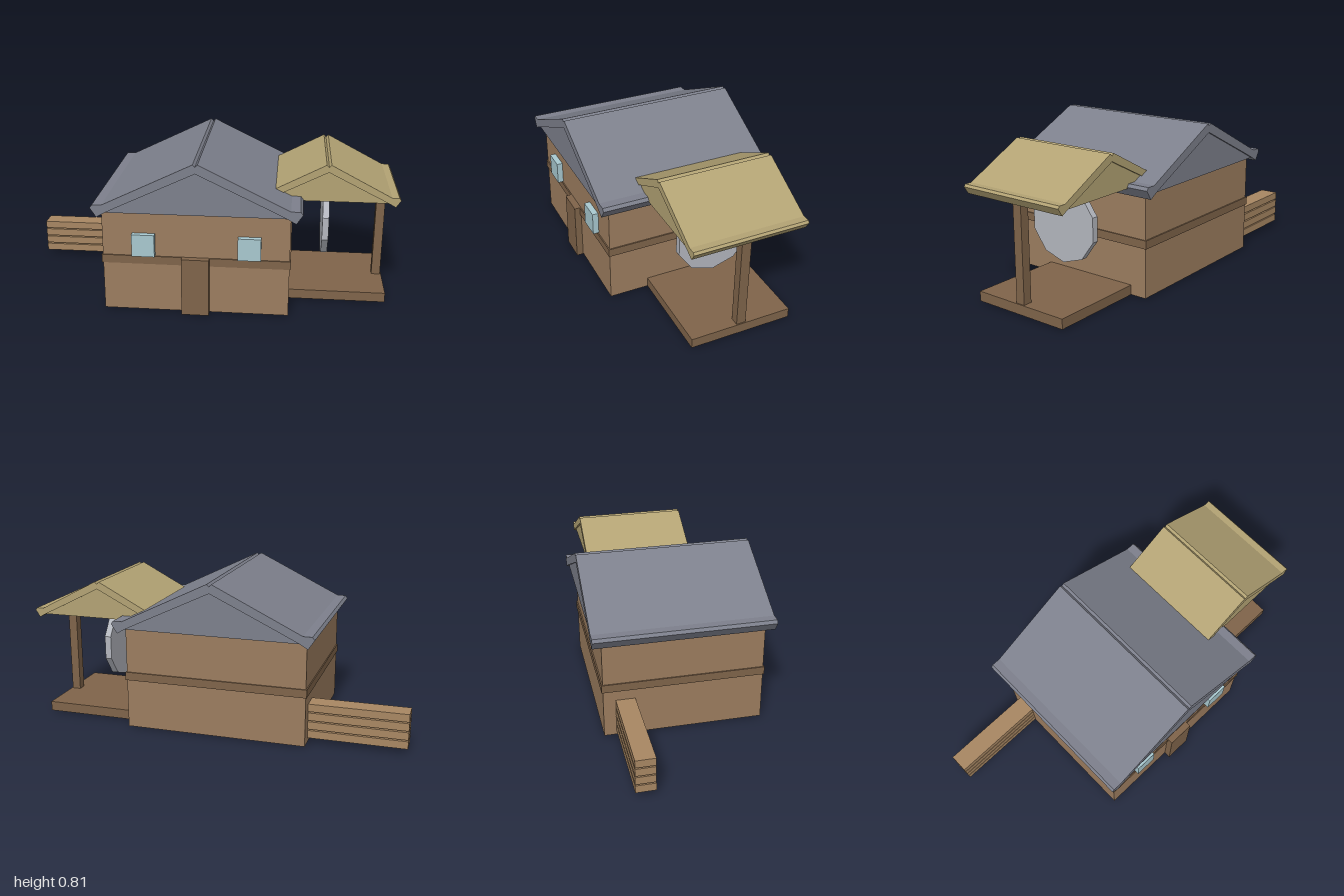
import * as THREE from 'three';

const mat = (color) => new THREE.MeshStandardMaterial({ color, flatShading: true });

export function createModel() {
  const model = new THREE.Group();
  const wall = mat(0x9c7d5f), trim = mat(0x7f644a), plank = mat(0xa88763);
  const slate = mat(0x7d808c), straw = mat(0xb3a374), glass = mat(0xa9c9d0), stone = mat(0xb4b7bf);

  const add = (name, geometry, material, parent = model) => {
    const mesh = new THREE.Mesh(geometry, material);
    mesh.name = name;
    parent.add(mesh);
    return mesh;
  };

  // box given by its lower and upper limits on each axis
  const box = (name, material, [x0, x1], [y0, y1], [z0, z1], parent) =>
    add(name, new THREE.BoxGeometry(x1 - x0, y1 - y0, z1 - z0), material, parent)
      .position.set((x0 + x1) / 2, (y0 + y1) / 2, (z0 + z1) / 2);

  // extrude an outline in x and y between two z limits
  const extrude = (name, points, [z0, z1], material, parent) => {
    const shape = new THREE.Shape(points.map(([x, y]) => new THREE.Vector2(x, y)));
    const geometry = new THREE.ExtrudeGeometry(shape, { depth: z1 - z0, bevelEnabled: false });
    add(name, geometry, material, parent).position.z = z0;
  };

  // gabled roof: two slope slabs with thick eaves around a slightly recessed gable core
  const roof = (name, material, { x, half, base, ridge, thick, eave, z }) => {
    const group = new THREE.Group();
    group.name = name;
    group.position.x = x;
    model.add(group);
    const shoulder = half - eave;
    const shoulderY = base + eave * 0.72;
    const inner = ridge - thick;
    const slope = (ridge - shoulderY) / shoulder;
    const innerX = (inner - shoulderY) / slope;
    for (const s of [1, -1]) {
      extrude('roofSlope', [
        [0, inner], [0, ridge - 0.012], [s * 0.012, ridge],
        [s * shoulder, shoulderY], [s * (half - eave * 0.2), shoulderY],
        [s * half, base + eave * 0.45], [s * (half - eave * 0.55), base - eave * 0.38],
        [s * (shoulder - eave * 0.2), base], [s * innerX, shoulderY],
      ], z, material, group);
    }
    extrude('gable', [
      [-shoulder, base], [shoulder, base], [shoulder, shoulderY - 0.01],
      [innerX, shoulderY + 0.01], [0, inner + 0.01],
      [-innerX, shoulderY + 0.01], [-shoulder, shoulderY - 0.01],
    ], [z[0] + 0.01, z[1] - 0.01], material, group);
  };

  // house
  box('houseWalls', wall, [-0.5, 0.45], [0.005, 0.56], [-0.413, 0.415]);
  box('wallBelt', trim, [-0.506, 0.456], [0.263, 0.306], [-0.42, 0.421]);
  box('door', trim, [-0.095, 0.046], [0, 0.306], [0.4, 0.45]);
  for (const x of [-0.288, 0.248]) {
    box('window', glass, [x - 0.058, x + 0.058], [0.312, 0.429], [0.4, 0.445]);
  }
  roof('mainRoof', slate, {
    x: -0.02, half: 0.527, base: 0.546, ridge: 0.81, thick: 0.046, eave: 0.058, z: [-0.462, 0.462],
  });

  // side porch
  box('porchFloor', trim, [0.44, 0.956], [0.005, 0.056], [-0.325, 0.21]);
  box('porchPost', trim, [0.903, 0.95], [0.05, 0.57], [-0.083, -0.034]);
  roof('porchRoof', straw, {
    x: 0.63, half: 0.367, base: 0.565, ridge: 0.76, thick: 0.038, eave: 0.045, z: [-0.356, 0.237],
  });

  // ten-sided stone wheel hanging under the porch roof
  const wheel = new THREE.CylinderGeometry(0.2, 0.2, 0.034, 10);
  wheel.rotateZ(Math.PI / 2);
  const wheelAngle = Math.PI / 2;
  wheel.rotateX(wheelAngle);
  add('stoneWheel', wheel, stone).position.set(0.631, 0.375, -0.06);

  // stacked planks beside the house
  const stack = new THREE.Group();
  stack.name = 'plankStack';
  model.add(stack);
  for (let i = 0; i < 4; i++) {
    const y = 0.028 + i * 0.047;
    box('plank', plank, [-1, -0.49], [y, y + 0.04], [-0.35, -0.25], stack);
  }
  return model;
}
